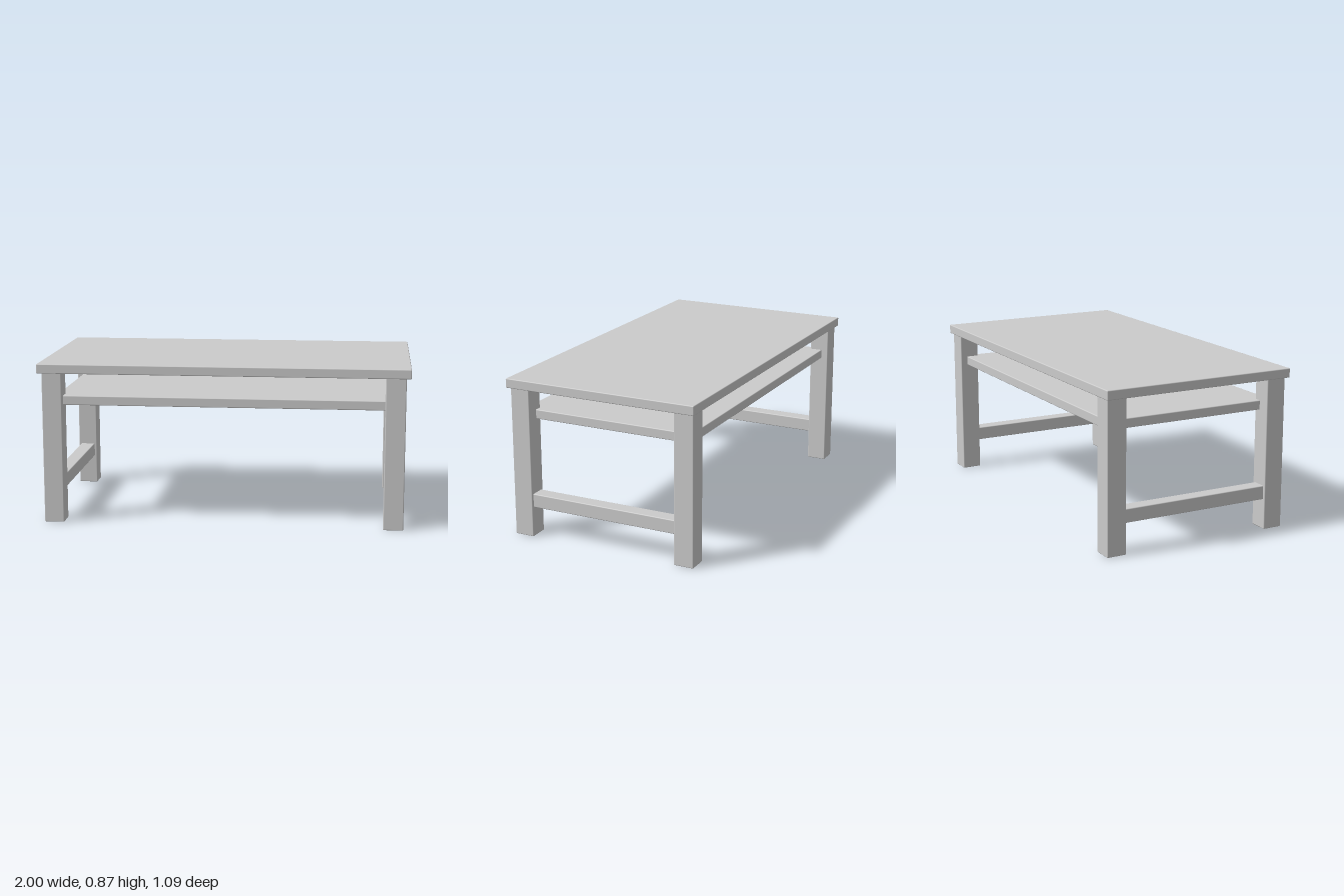
import * as THREE from 'three';
import { RoundedBoxGeometry } from 'three/addons/geometries/RoundedBoxGeometry.js';

export function createModel() {
  const table = new THREE.Group();
  table.name = 'coffeeTable';
  const material = new THREE.MeshStandardMaterial({ color: 0xcccccc });

  // Board with slightly eased edges, placed by its centre in x and z and its underside in y
  function board(name, width, height, depth, x, bottom, z) {
    const mesh = new THREE.Mesh(new RoundedBoxGeometry(width, height, depth, 2, 0.005), material);
    mesh.name = name;
    mesh.position.set(x, bottom + height / 2, z);
    table.add(mesh);
  }

  board('tableTop', 2, 0.051, 1.086, 0, 0.822, 0);

  // Shelf panel, notched into the legs
  board('shelf', 1.816, 0.051, 0.98, 0, 0.644, 0);

  for (const [sideName, side] of [['left', 1], ['right', -1]]) {
    for (const [endName, end] of [['Front', 1], ['Back', -1]]) {
      board(`${sideName}${endName}Leg`, 0.108, 0.825, 0.109, side * 0.921, 0, end * 0.475);
    }
    // Low rail joining the front and back legs
    board(`${sideName}Stretcher`, 0.08, 0.075, 0.88, side * 0.921, 0.164, 0);
  }

  return table;
}
